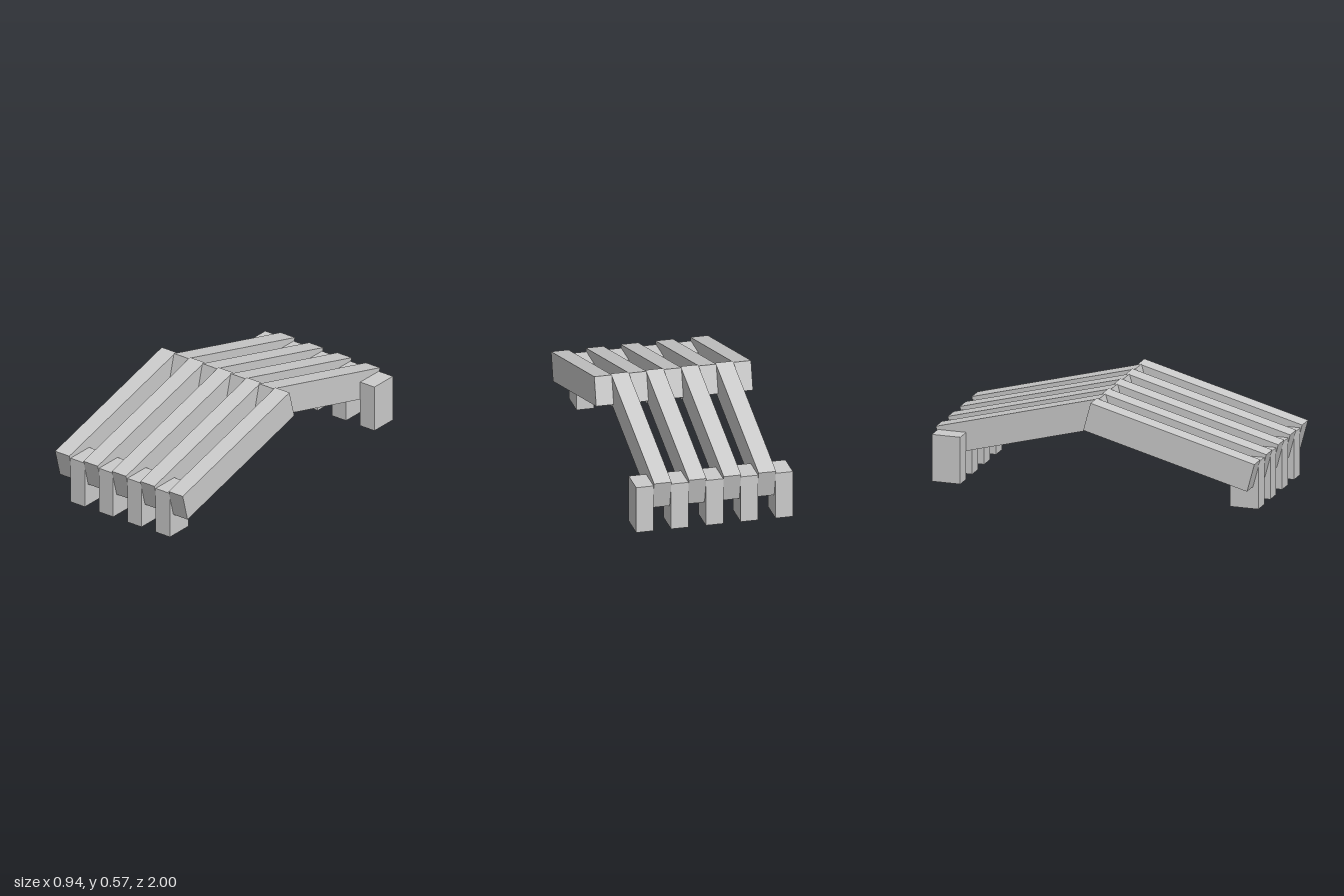
import * as THREE from 'three';

const PITCH = 0.1045;               // slat width, slats of both halves interleave
const LENGTH = 1.045, DEPTH = 0.175, SLOPE = Math.PI / 12;
const POST_HEIGHT = 0.285;

const material = new THREE.MeshStandardMaterial({ color: 0xcccccc, flatShading: true });

// One half of the bench: count sloping slats, and posts in the other half's columns
function createHalf(name, slatCount, postCount) {
  const half = new THREE.Group();
  half.name = name;

  // Slat origin sits on its upper outer edge, running inwards and up
  const slatGeometry = new THREE.BoxGeometry(PITCH, DEPTH, LENGTH);
  slatGeometry.translate(0, -DEPTH / 2, -LENGTH / 2);
  slatGeometry.rotateX(SLOPE);
  slatGeometry.translate(0, 0.303, 1);

  const postGeometry = new THREE.BoxGeometry(PITCH, POST_HEIGHT, 0.175);
  postGeometry.translate(0, POST_HEIGHT / 2, 0.9);

  const addRow = (part, geometry, count) => {
    for (let i = 0; i < count; i++) {
      const mesh = new THREE.Mesh(geometry, material);
      mesh.name = part + (i + 1);
      mesh.position.x = (i - (count - 1) / 2) * 2 * PITCH;
      half.add(mesh);
    }
  };
  addRow('slat', slatGeometry, slatCount);
  addRow('post', postGeometry, postCount);
  return half;
}

export function createModel() {
  const model = new THREE.Group();
  model.name = 'slattedBench';
  const front = createHalf('frontHalf', 5, 4);
  const back = createHalf('backHalf', 4, 5);
  back.rotation.y = Math.PI;
  model.add(front, back);
  return model;
}
